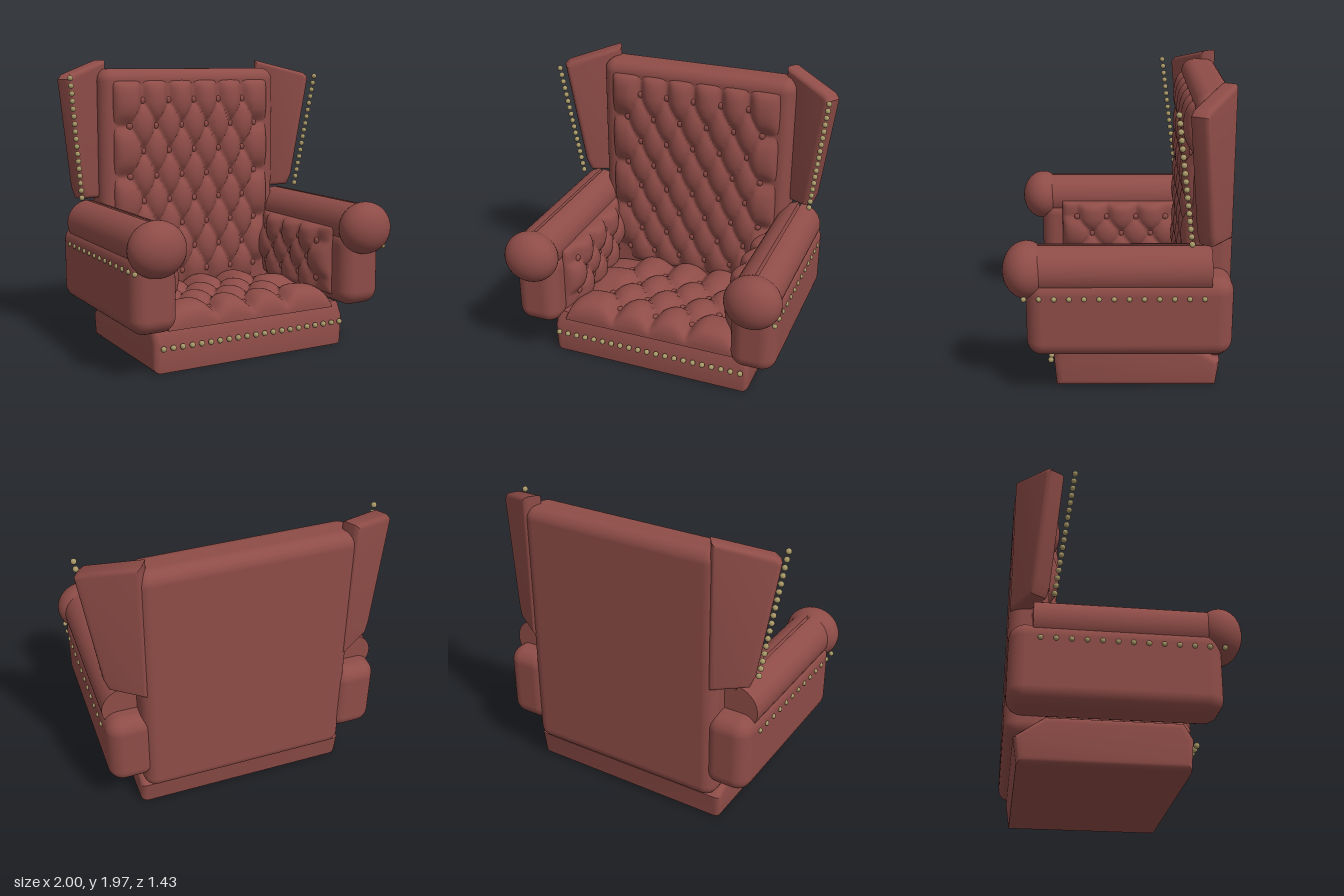
import * as THREE from 'three';
import { toCreasedNormals } from 'three/addons/utils/BufferGeometryUtils.js';
import { RoundedBoxGeometry } from 'three/addons/geometries/RoundedBoxGeometry.js';

const leather = new THREE.MeshStandardMaterial({ color: 0x8e4c47 });
leather.name = 'leather';
const brass = new THREE.MeshStandardMaterial({ color: 0xa89868 });
brass.name = 'brass';

function add(parent, name, geometry, material, x = 0, y = 0, z = 0) {
  const mesh = new THREE.Mesh(geometry, material);
  mesh.name = name;
  mesh.position.set(x, y, z);
  parent.add(mesh);
  return mesh;
}

// Closed shape extruded with a rounded bevel, centred on its depth
function padded(points, depth, bevel) {
  const shape = new THREE.Shape(points.map(([x, y]) => new THREE.Vector2(x, y)));
  const geo = new THREE.ExtrudeGeometry(shape, {
    depth: depth - 2 * bevel, bevelEnabled: true, bevelSize: bevel,
    bevelThickness: bevel, bevelOffset: -bevel, bevelSegments: 5,
  });
  geo.translate(0, 0, bevel - depth / 2);
  return toCreasedNormals(geo, 0.6);
}

// Diamond-buttoned cushion in the local XY plane, swelling towards +z.
// px, py: lattice periods; oy: height of a button on the centre line;
// cx, lo, hi: limits of the lattice, beyond which the creases run straight to the rim.
function tuftedPanel(name, o) {
  const group = new THREE.Group();
  group.name = name;
  const ease = (t) => 1.4 * t - 0.4 * t ** 3;
  const height = (x, y) => {
    const lx = THREE.MathUtils.clamp(x, -o.cx, o.cx);
    const ly = THREE.MathUtils.clamp(y, o.lo, o.hi) - o.oy;
    const u = Math.PI * (lx / o.px + ly / o.py);
    const v = Math.PI * (lx / o.px - ly / o.py);
    const puff = Math.abs(Math.sin(u) * Math.sin(v)) ** 0.45;
    const node = (Math.cos(u) * Math.cos(v)) ** 4;
    const rim = (t) => Math.sqrt(Math.max(0, 1 - Math.abs(t) ** o.round));
    return rim((2 * x) / o.w) * rim((2 * y) / o.h) * (o.base + o.puff * (puff - 0.4 * node));
  };
  const geo = new THREE.PlaneGeometry(o.w, o.h, o.nx, o.ny);
  const pos = geo.attributes.position;
  for (let i = 0; i < pos.count; i++) {
    const x = ease((2 * pos.getX(i)) / o.w) * o.w / 2;
    const y = ease((2 * pos.getY(i)) / o.h) * o.h / 2;
    pos.setXYZ(i, x, y, height(x, y));
  }
  geo.computeVertexNormals();
  add(group, name + 'Cushion', geo, leather);

  // Buttons on the lattice nodes
  const button = new THREE.SphereGeometry(0.024, 12, 8).scale(1, 1, 0.6);
  for (let j = -12; j <= 12; j++) {
    const y = o.oy + (j * o.py) / 2;
    if (y < o.lo - 0.01 || y > o.hi + 0.01) continue;
    for (let i = -12; i <= 12; i++) {
      const x = (i * o.px) / 2;
      if ((i + j) % 2 === 0 && Math.abs(x) <= o.cx + 0.01) {
        add(group, name + 'Button', button, leather, x, y, height(x, y) + 0.006);
      }
    }
  }
  return group;
}

// Row of brass nails between two points
function studs(parent, name, count, from, to, radius = 0.019) {
  const geo = new THREE.SphereGeometry(radius, 12, 8);
  const a = new THREE.Vector3(...from), b = new THREE.Vector3(...to);
  for (let i = 0; i < count; i++) {
    add(parent, name, geo, brass).position.lerpVectors(a, b, i / (count - 1));
  }
}

export function createModel() {
  const chair = new THREE.Group();
  chair.name = 'wingChair';

  // Plinth with sloping shoulders
  const base = padded([[0.4, 0], [0.415, 0.2], [0.36, 0.3], [-0.47, 0.3], [-0.655, 0.17], [-0.63, 0]], 1.45, 0.045);
  add(chair, 'base', base.rotateY(-Math.PI / 2), leather);
  studs(chair, 'baseStud', 21, [-0.675, 0.17, 0.435], [0.675, 0.17, 0.435]);

  // Backrest
  add(chair, 'back', new RoundedBoxGeometry(1.4, 1.73, 0.25, 5, 0.085), leather, 0, 1.045, -0.59);
  const backPanel = tuftedPanel('backPanel', {
    w: 1.24, h: 1.5, nx: 130, ny: 150, px: 0.2, py: 0.355, oy: -0.1,
    cx: 0.5, lo: -0.633, hi: 0.61, base: 0.045, puff: 0.045, round: 14,
  });
  backPanel.position.set(0, 1.08, -0.487);
  chair.add(backPanel);

  // Seat
  const seat = tuftedPanel('seat', {
    w: 1.26, h: 0.89, nx: 120, ny: 90, px: 0.27, py: 0.35, oy: 0.055,
    cx: 0.405, lo: -0.295, hi: 0.23, base: 0.1, puff: 0.055, round: 10,
  });
  seat.rotation.x = -Math.PI / 2;
  seat.position.set(0, 0.275, -0.03);
  chair.add(seat);

  // Arm roll section with a seam notch along the top
  const r = 0.155;
  const section = [[0, r - 0.035]];
  for (let i = 0; i <= 40; i++) {
    const a = Math.PI / 2 + 0.07 + (i / 40) * (Math.PI * 2 - 0.14);
    section.push([r * Math.cos(a), r * Math.sin(a)]);
  }
  const rollShape = new THREE.Shape(section.map(([x, y]) => new THREE.Vector2(x, y)));
  const rollGeo = toCreasedNormals(
    new THREE.ExtrudeGeometry(rollShape, { depth: 1.1, bevelEnabled: false, steps: 1 }), 0.6);

  for (const side of [1, -1]) {
    const label = side > 0 ? 'left' : 'right';
    const arm = new THREE.Group();
    arm.name = label + 'Arm';
    chair.add(arm);

    // Arm body, roll and rounded front end
    add(arm, 'armBody', new RoundedBoxGeometry(0.31, 0.52, 1.28, 5, 0.1), leather, side * 0.775, 0.56, -0.07);
    add(arm, 'armRoll', rollGeo, leather, side * 0.775, 0.845, -0.57);
    const knob = add(arm, 'armFront', new THREE.SphereGeometry(1, 40, 28), leather, side * 0.777, 0.842, 0.567);
    knob.scale.set(0.188, 0.178, 0.148);
    studs(arm, 'armStud', 13, [side * 0.928, 0.705, 0.575], [side * 0.928, 0.705, -0.525], 0.017);

    // Buttoned inner face
    const inner = tuftedPanel('armPanel', {
      w: 0.89, h: 0.47, nx: 80, ny: 50, px: 0.22, py: 0.26, oy: 0,
      cx: 0.33, lo: -0.13, hi: 0.13, base: 0.07, puff: 0.04, round: 10,
    });
    inner.rotation.y = -side * Math.PI / 2;
    inner.position.set(side * 0.625, 0.6, -0.03);
    arm.add(inner);

    // Wing, angled forwards and outwards
    const outline = [[0, 1.0], [0.25, 1.02], [0.285, 1.1], [0.405, 1.84], [0.37, 1.875], [0, 1.97]];
    const wingGeo = padded(outline.map(([s, y]) => [side * s, y]), 0.125, 0.032);
    const wing = add(chair, label + 'Wing', wingGeo, leather, side * 0.635, 0, -0.665);
    wing.rotation.y = -side * 0.55;
    studs(chair, 'wingStud', 17, [side * 0.968, 1.85, -0.343], [side * 0.867, 1.035, -0.445]);
  }
  return chair;
}
